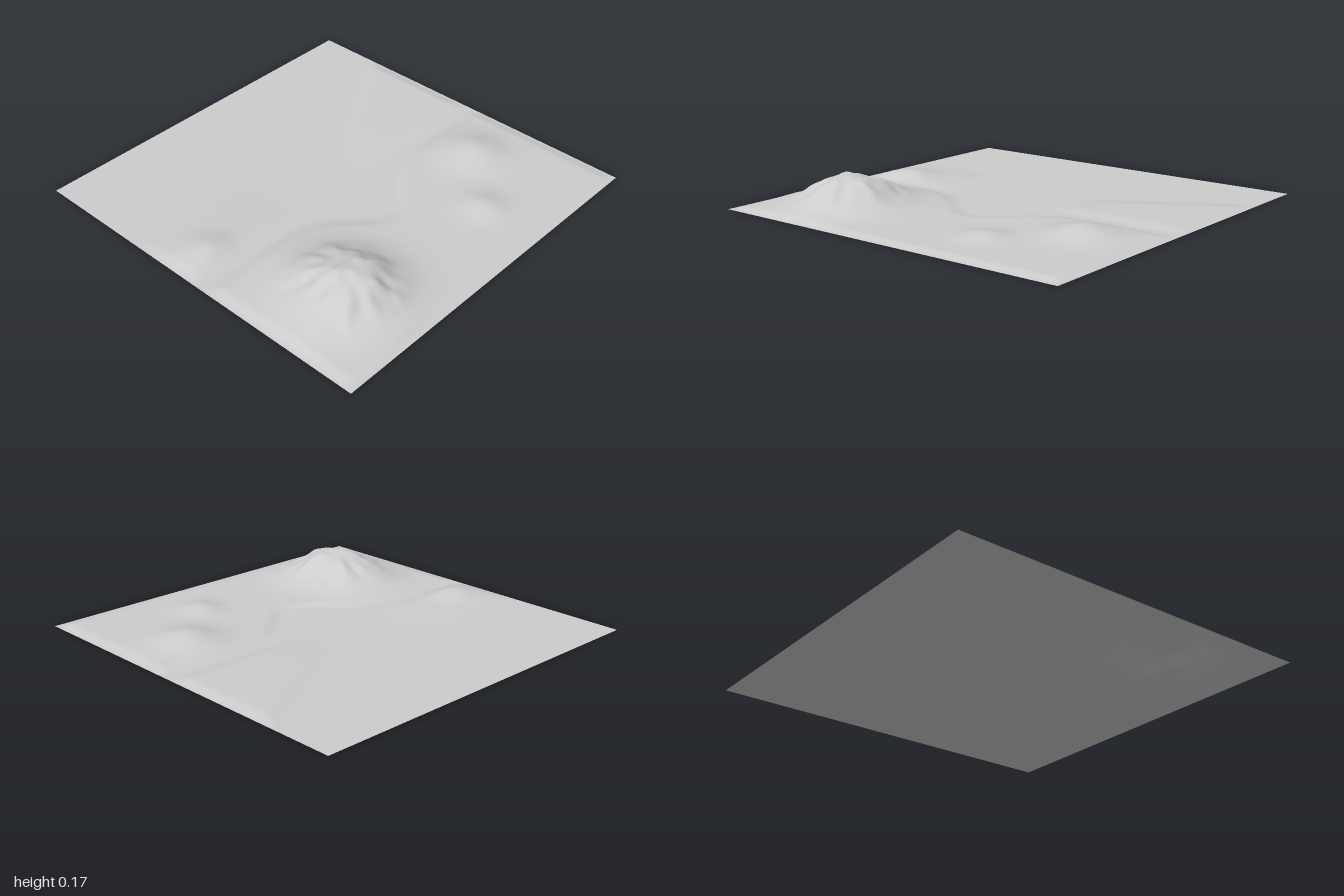
import * as THREE from 'three';

const step = THREE.MathUtils.smoothstep; // (x, min, max)

// seeded smooth value noise in 0..1
function hash(i, j) {
  const s = Math.sin(i * 127.1 + j * 311.7 + 17.3) * 43758.5453;
  return s - Math.floor(s);
}
function noise(x, z) {
  const i = Math.floor(x), j = Math.floor(z);
  const u = step(x - i, 0, 1), v = step(z - j, 0, 1);
  const a = THREE.MathUtils.lerp(hash(i, j), hash(i + 1, j), u);
  const b = THREE.MathUtils.lerp(hash(i, j + 1), hash(i + 1, j + 1), u);
  return THREE.MathUtils.lerp(a, b, v);
}

// rounded hill with separate front and back spreads
function hill(x, z, cx, cz, h, sx, sFront, sBack) {
  const dx = (x - cx) / sx;
  const dz = (z - cz) / (z > cz ? sFront : sBack);
  return h * Math.exp(-(dx * dx + dz * dz) / 2);
}

// broad mountain with eroded gullies
function mountain(x, z) {
  const dx = (x + 0.57) / 0.205;
  const dz = (z - 0.6) / (z > 0.6 ? 0.19 : 0.25);
  const r = Math.hypot(dx, dz);
  const body = 0.148 * Math.pow(0.5, Math.pow(r, 2.2));
  const rough = (noise(x * 11 + 3, z * 11) - 0.5) * 0.024
    + (noise(x * 21, z * 21 + 9) - 0.5) * 0.012;
  const gullies = 0.004 * Math.sin(Math.atan2(dz, dx) * 11) * step(r, 0.3, 0.9);
  return body + (rough + gullies) * (1 - step(r, 0.8, 1.6));
}

// low plains around a central basin and the valleys leading out of it
function plains(x, z) {
  const shore = 0.07 + 0.26 * Math.exp(-((x / 0.24) ** 2));
  const front = step(z, shore, shore + 0.11);
  const bank = 1 - step(z, -0.05, 0.06);
  const line = -0.22 - 0.6 * (x - 0.3);
  const right = step(z, line - 0.07, line + 0.08) * step(x, 0.12, 0.5) * bank;
  const left = step(z, -0.45, -0.15) * (1 - step(x, -0.6, -0.25)) * bank;
  return 0.012 * Math.max(front, right, left);
}

function height(x, z) {
  const edge = step(1 - Math.abs(x), 0, 0.07) * step(1 - z, 0, 0.07);
  const h = plains(x, z) + mountain(x, z)
    + hill(x, z, 0.34, 0.66, 0.029, 0.075, 0.075, 0.08)
    + hill(x, z, 0.66, 0.35, 0.05, 0.11, 0.11, 0.11)
    + hill(x, z, -0.8, -0.09, 0.032, 0.085, 0.06, 0.08);
  const valley = step(Math.abs(z - 0.07), 0, 0.06); // keeps the river bed low
  return Math.max(0, h * edge * (0.3 + 0.7 * valley));
}

export function createModel() {
  const group = new THREE.Group();
  group.name = 'landscape';
  const ground = new THREE.MeshStandardMaterial({ color: 0xcccccc, side: THREE.DoubleSide });
  ground.name = 'ground grey';

  // one open sheet, raised by the height rule
  const geometry = new THREE.PlaneGeometry(2, 2, 160, 160).rotateX(-Math.PI / 2);
  const p = geometry.attributes.position;
  for (let i = 0; i < p.count; i++) p.setY(i, height(p.getX(i), p.getZ(i)));
  geometry.computeVertexNormals();

  const terrain = new THREE.Mesh(geometry, ground);
  terrain.name = 'terrain';
  group.add(terrain);
  return group;
}
